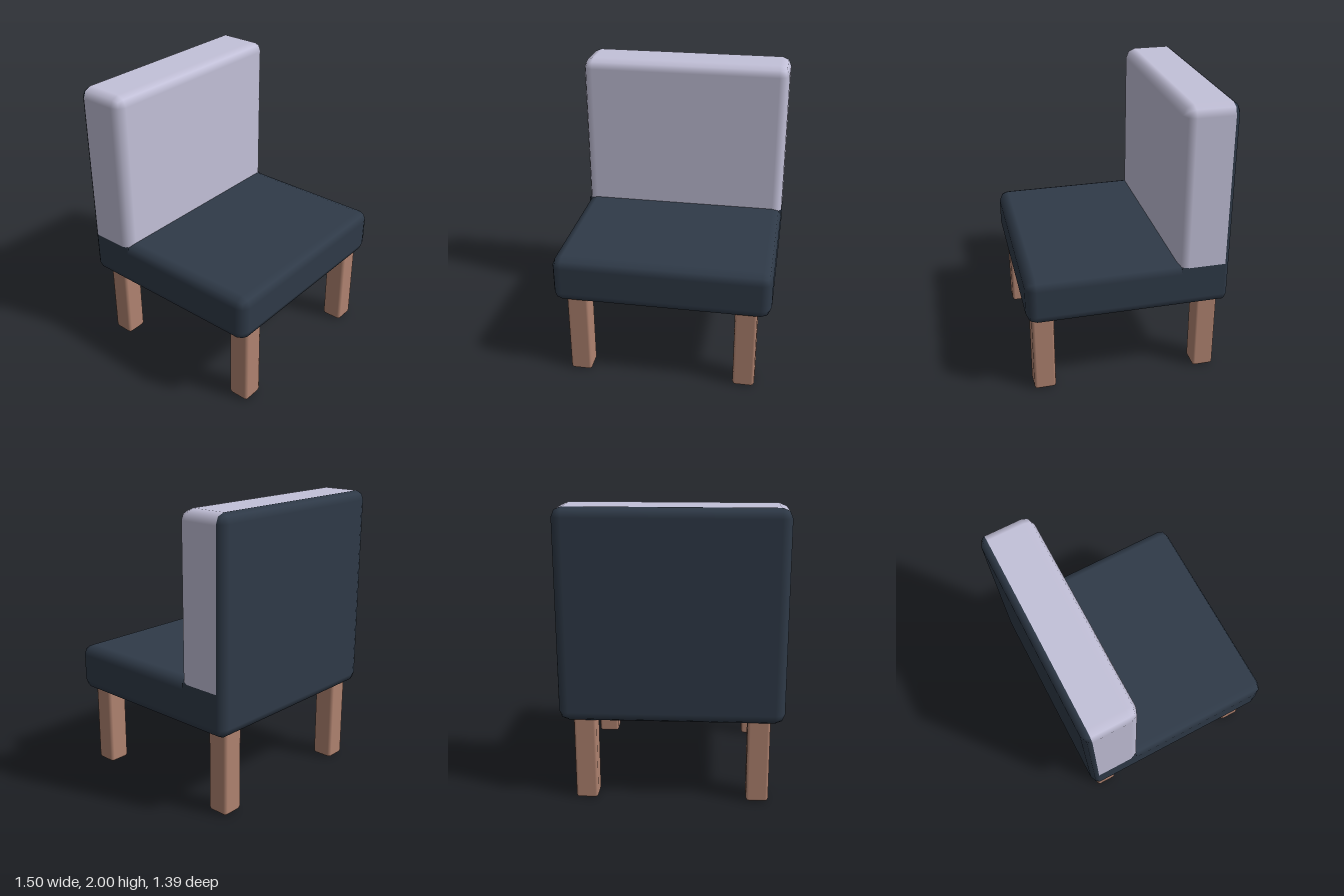
import * as THREE from 'three';
import { RoundedBoxGeometry } from 'three/addons/geometries/RoundedBoxGeometry.js';

const CORNER = 0.07;

const material = (name, color) => {
  const m = new THREE.MeshStandardMaterial({ color });
  m.name = name;
  return m;
};

// Soft box between two corners; sides listed in flat (such as '-z') are cut
// square instead of rounded, so that neighbouring parts meet cleanly.
function softBox(name, mat, min, max, radius = CORNER, flat = []) {
  const lo = [...min], hi = [...max];
  'xyz'.split('').forEach((axis, i) => {
    if (flat.includes('-' + axis)) lo[i] -= radius * 1.2;
    if (flat.includes('+' + axis)) hi[i] += radius * 1.2;
  });
  const size = lo.map((v, i) => hi[i] - v);
  const geometry = new RoundedBoxGeometry(...size, 1, radius);
  geometry.translate(...lo.map((v, i) => (v + hi[i]) / 2));
  const low = new THREE.Vector3(...min), high = new THREE.Vector3(...max);
  const p = new THREE.Vector3(), pos = geometry.attributes.position;
  for (let i = 0; i < pos.count; i++) {
    p.fromBufferAttribute(pos, i).clamp(low, high);
    pos.setXYZ(i, p.x, p.y, p.z);
  }
  const mesh = new THREE.Mesh(geometry, mat);
  mesh.name = name;
  return mesh;
}

export function createModel() {
  const group = new THREE.Group();
  group.name = 'chair';
  const navy = material('navy fabric', 0x2f3a48);
  const lilac = material('lilac fabric', 0xc3c1d9);
  const wood = material('wood', 0xb08370);

  // Seat, and the part of it that carries the back cushion
  group.add(softBox('seat', navy, [-0.75, 0.58, -0.36], [0.75, 0.91, 0.697], CORNER, ['-z']));
  group.add(softBox('seatRear', navy, [-0.75, 0.58, -0.65], [0.75, 0.885, -0.35], CORNER, ['+y', '+z', '-z']));

  // Backrest: cushion in front, thin shell behind
  group.add(softBox('backCushion', lilac, [-0.75, 0.885, -0.65], [0.75, 2, -0.327], CORNER, ['-z', '-y']));
  group.add(softBox('backShell', navy, [-0.75, 0.58, -0.697], [0.75, 2, -0.65], CORNER, ['+z']));

  // Four square legs
  for (const side of [-1, 1]) {
    for (const [end, z] of [['front', 0.58], ['back', -0.57]]) {
      const x = side * 0.582;
      const name = end + (side > 0 ? 'Left' : 'Right') + 'Leg';
      group.add(softBox(name, wood, [x - 0.076, 0, z - 0.076], [x + 0.076, 0.62, z + 0.076], 0.02));
    }
  }
  return group;
}
